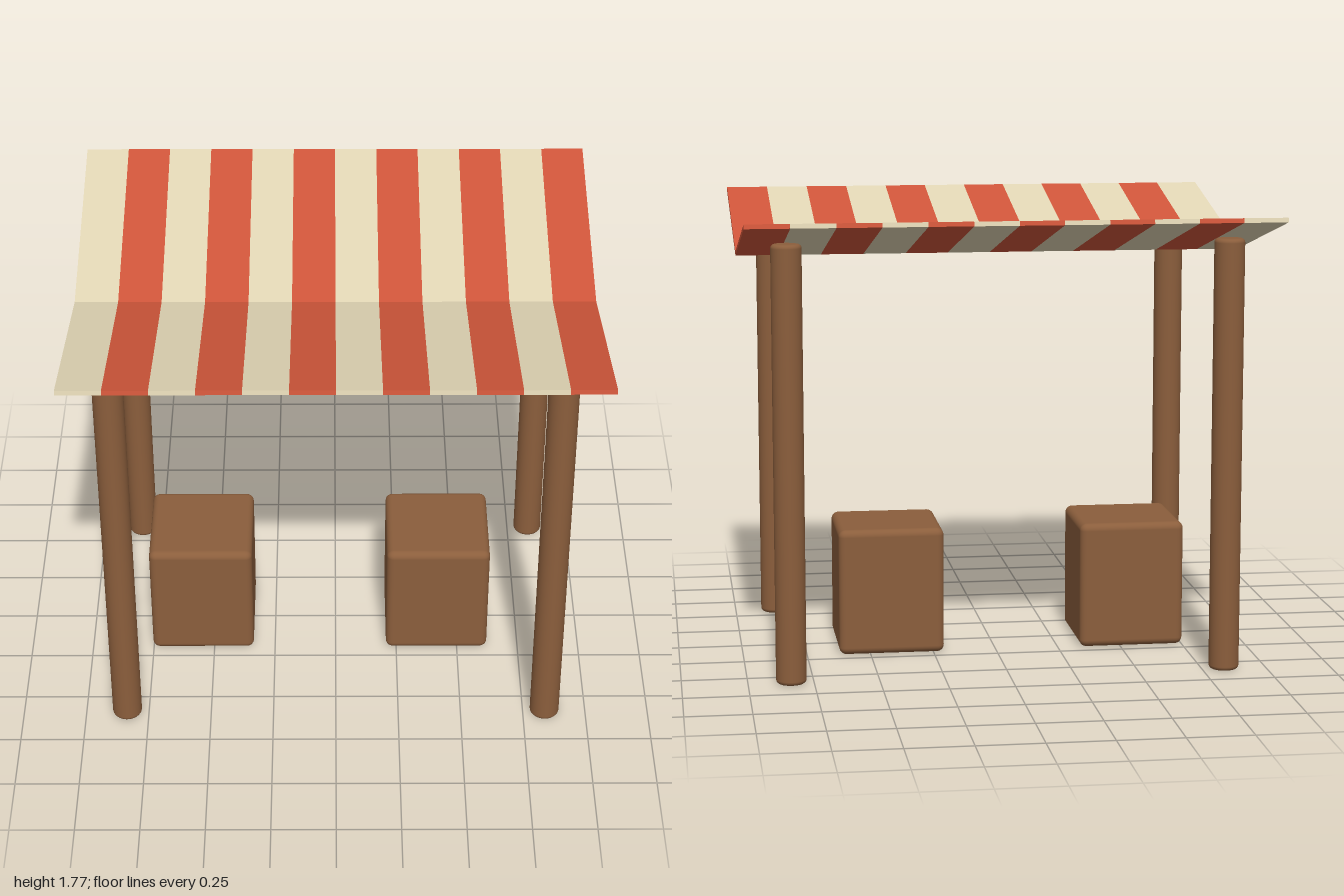
import * as THREE from 'three';
import { RoundedBoxGeometry } from 'three/addons/geometries/RoundedBoxGeometry.js';

export function createModel() {
  const model = new THREE.Group();
  model.name = 'marketStall';

  const material = (name, color) => {
    const m = new THREE.MeshStandardMaterial({ color });
    m.name = name;
    return m;
  };
  const wood = material('brown wood', 0x8b5e3c);
  const cream = material('cream cloth', 0xe2d6b5);
  const red = material('red cloth', 0xd0563a);

  const add = (name, geometry, mat, x, y, z) => {
    const mesh = new THREE.Mesh(geometry, mat);
    mesh.name = name;
    mesh.position.set(x, y, z);
    model.add(mesh);
  };

  // Four round posts with softened ends
  const r = 0.058, h = 1.67, b = 0.016;
  const profile = [new THREE.Vector2(0, 0), new THREE.Vector2(r - b, 0)];
  for (let i = 0; i <= 4; i++) {
    const a = (i / 4) * Math.PI / 2;
    profile.push(new THREE.Vector2(r - b + b * Math.sin(a), b - b * Math.cos(a)));
  }
  for (let i = 0; i <= 4; i++) {
    const a = (i / 4) * Math.PI / 2;
    profile.push(new THREE.Vector2(r - b + b * Math.cos(a), h - b + b * Math.sin(a)));
  }
  profile.push(new THREE.Vector2(0, h));
  const post = new THREE.LatheGeometry(profile, 32);
  for (const x of [-1, 1]) {
    for (const z of [-1, 1]) {
      add((z > 0 ? 'front' : 'back') + (x > 0 ? 'Left' : 'Right') + 'Post', post, wood, x * 0.836, 0, z * 0.585);
    }
  }

  // Two rounded crates
  const crate = new RoundedBoxGeometry(0.415, 0.5, 0.415, 4, 0.028);
  add('rightCrate', crate, wood, -0.545, 0.25, 0);
  add('leftCrate', crate, wood, 0.415, 0.25, 0);

  // V-shaped canopy, one thin folded strip per stripe
  const count = 12, width = 2 / count;
  const section = new THREE.Shape([
    [0, 1.567], [0.836, 1.75], [0.832, 1.767], [0, 1.584], [-0.832, 1.767], [-0.836, 1.75],
  ].map(([z, y]) => new THREE.Vector2(z, y)));
  const stripe = new THREE.ExtrudeGeometry(section, { depth: width, bevelEnabled: false });
  stripe.rotateY(Math.PI / 2);
  for (let i = 0; i < count; i++) {
    add('canopyStripe' + (i + 1), stripe, i % 2 ? red : cream, -1 + i * width, 0, 0);
  }

  return model;
}
